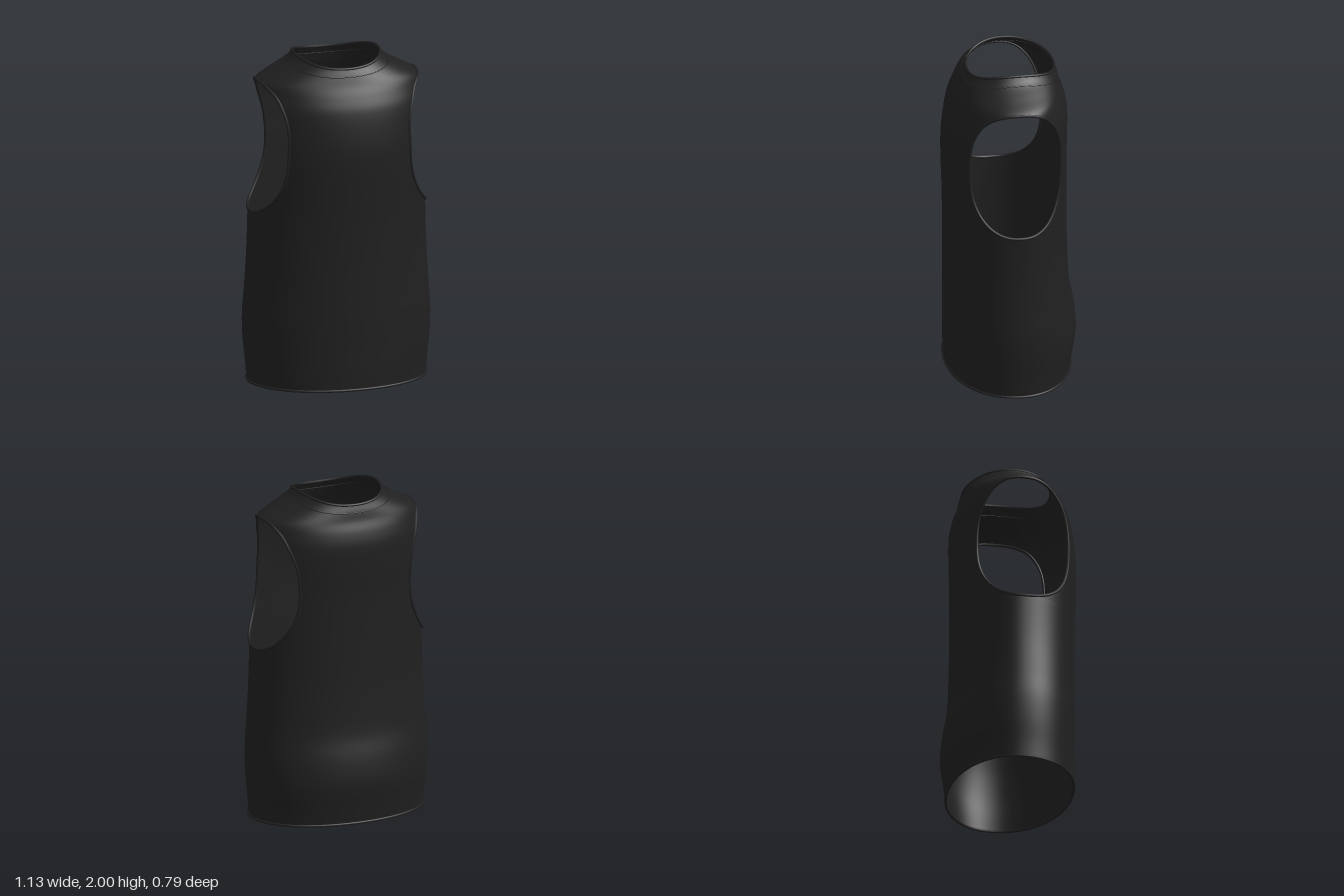
import * as THREE from 'three';
import { mergeVertices } from 'three/addons/utils/BufferGeometryUtils.js';

// Body profile: height, half width, front depth, back depth
const PROFILE = [
  [0, .538, .38, .355], [.1, .545, .382, .37], [.25, .56, .382, .391], [.4, .565, .383, .378],
  [.55, .555, .383, .35], [.8, .54, .383, .338], [1.05, .533, .386, .335], [1.4, .53, .395, .335],
  [1.55, .53, .386, .339], [1.7, .525, .36, .338], [1.78, .51, .328, .322], [1.845, .483, .295, .298],
  [1.9, .385, .27, .284], [1.95, .295, .245, .266], [2, .25, .23, .258],
];
const POWER = 2.1;                       // slightly squared oval section
const ARM = { y: 1.45, half: .395, front: .29, back: .255, power: 2.5 };
const ARM_LOW = ARM.y - ARM.half, ARM_TOP = ARM.y + ARM.half;

// Smooth (Hermite) interpolation of the profile
function sample(y) {
  const P = PROFILE, last = P.length - 1;
  let i = 0;
  while (i < last - 1 && y > P[i + 1][0]) i++;
  const h = P[i + 1][0] - P[i][0];
  const t = THREE.MathUtils.clamp((y - P[i][0]) / h, 0, 1);
  const slope = (k, c) => {
    const a = P[Math.max(k - 1, 0)], b = P[Math.min(k + 1, last)];
    return (b[c] - a[c]) / (b[0] - a[0]);
  };
  return [1, 2, 3].map(c =>
    (2 * t ** 3 - 3 * t * t + 1) * P[i][c] + (t ** 3 - 2 * t * t + t) * h * slope(i, c) +
    (3 * t * t - 2 * t ** 3) * P[i + 1][c] + (t ** 3 - t * t) * h * slope(i + 1, c));
}

const rounded = v => Math.sign(v) * Math.abs(v) ** (2 / POWER);

function surfacePoint(angle, y) {
  const [w, f, b] = sample(y);
  const s = Math.sin(angle);
  return new THREE.Vector3(w * rounded(Math.cos(angle)), y, (s >= 0 ? f : b) * rounded(s));
}

// Angle from the side at which the cloth starts, leaving the armhole open
function armAngle(y, back) {
  const t = Math.abs(y - ARM.y) / ARM.half;
  if (t >= 1 - 1e-9) return 0;
  const z = (back ? ARM.back : ARM.front) * (1 - t ** ARM.power) ** (1 / ARM.power);
  const depth = sample(y)[back ? 2 : 1];
  return Math.asin(Math.min(1, (z / depth) ** (POWER / 2)));
}

const neckHeight = angle => 1.94 + .052 * Math.cos(angle) ** 2;

// Rows run from hem to underarm, past the armhole, then over the shoulder to the neck
function buildRows() {
  const rows = [];
  for (let i = 0; i < 26; i++) rows.push({ y: .008 + (ARM_LOW - .008) * i / 26 });
  for (let i = 0; i <= 48; i++) rows.push({ y: ARM.y - ARM.half * Math.cos(Math.PI * i / 48) });
  for (let i = 1; i <= 14; i++) rows.push({ y: ARM_TOP, rise: i / 14 });
  return rows;
}

function shirtGeometry() {
  const rows = buildRows(), cols = 56, positions = [], index = [];
  for (const back of [false, true]) {
    const base = positions.length / 3;
    rows.forEach(({ y, rise = 0 }, r) => {
      const edge = armAngle(y, back), start = (back ? Math.PI : 0) + edge;
      for (let c = 0; c <= cols; c++) {
        const angle = start + (Math.PI - 2 * edge) * c / cols;
        const height = rise ? THREE.MathUtils.lerp(y, neckHeight(angle), rise) : y;
        positions.push(...surfacePoint(angle, height).toArray());
        if (r && c) {
          const d = base + r * (cols + 1) + c, b = d - cols - 1;
          index.push(b - 1, d - 1, b, b, d - 1, d);
        }
      }
    });
  }
  const geometry = new THREE.BufferGeometry();
  geometry.setAttribute('position', new THREE.Float32BufferAttribute(positions, 3));
  geometry.setIndex(index);
  const merged = mergeVertices(geometry, 1e-4);
  merged.computeVertexNormals();
  return merged;
}

// Closed loop of points, pointAt taking an angle
const loop = (count, pointAt) =>
  Array.from({ length: count }, (_, i) => pointAt(2 * Math.PI * i / count));

export function createModel() {
  const shirt = new THREE.Group();
  shirt.name = 'sleevelessShirt';
  const cloth = new THREE.MeshStandardMaterial({ color: 0x202020, side: THREE.DoubleSide });
  cloth.name = 'blackCloth';

  const add = (name, geometry) => {
    const mesh = new THREE.Mesh(geometry, cloth);
    mesh.name = name;
    shirt.add(mesh);
  };
  const addTrim = (name, points, radius) => add(name, new THREE.TubeGeometry(
    new THREE.CatmullRomCurve3(points, true), 160, radius, 8, true));

  add('shirtBody', shirtGeometry());

  // Rolled edges at hem and neck, and the neckband seam
  addTrim('hemEdge', loop(80, a => surfacePoint(a, .008)), .008);
  addTrim('neckEdge', loop(80, a => surfacePoint(a, neckHeight(a))), .008);
  addTrim('neckbandSeam', loop(80, a => surfacePoint(a, neckHeight(a) - .045)), .003);

  // Armhole edges, mirrored
  for (const side of [1, -1]) {
    const points = loop(80, a => {
      const y = ARM.y - ARM.half * Math.cos(a), back = a > Math.PI;
      const p = surfacePoint((back ? -1 : 1) * armAngle(y, back), y);
      p.x *= side;
      return p;
    });
    addTrim(side > 0 ? 'leftArmholeEdge' : 'rightArmholeEdge', points, .009);
  }
  return shirt;
}
